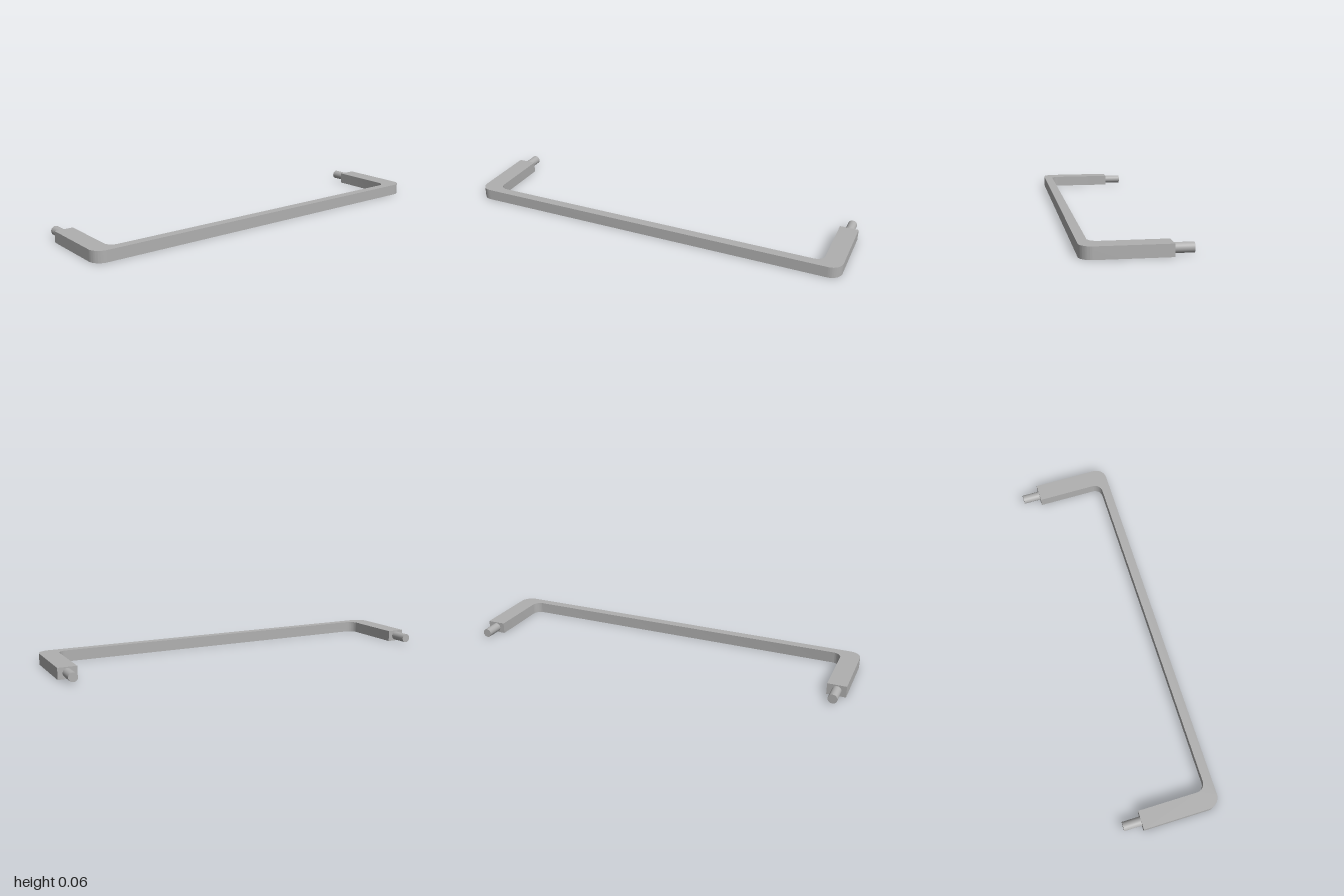
import * as THREE from 'three';
import { toCreasedNormals } from 'three/addons/utils/BufferGeometryUtils.js';

const HEIGHT = 0.057;
const FRONT = 0.244, BAR_BACK = 0.198, ARM_END = -0.152, PIN_END = -0.244;
const OUTER = 1, INNER = 0.906;
const R_OUT = 0.06, R_IN = 0.045;

// U-shaped outline seen from above; shape y is -z
function handleOutline() {
  const s = new THREE.Shape();
  s.moveTo(-OUTER, -ARM_END);
  s.lineTo(-OUTER, -FRONT + R_OUT);
  s.absarc(-OUTER + R_OUT, -FRONT + R_OUT, R_OUT, Math.PI, Math.PI * 1.5, false);
  s.absarc(OUTER - R_OUT, -FRONT + R_OUT, R_OUT, -Math.PI / 2, 0, false);
  s.lineTo(OUTER, -ARM_END);
  s.lineTo(INNER, -ARM_END);
  s.absarc(INNER - R_IN, -BAR_BACK + R_IN, R_IN, 0, -Math.PI / 2, true);
  s.absarc(-INNER + R_IN, -BAR_BACK + R_IN, R_IN, Math.PI * 1.5, Math.PI, true);
  s.lineTo(-INNER, -ARM_END);
  s.closePath();
  return s;
}

export function createModel() {
  const group = new THREE.Group();
  group.name = 'pullHandle';
  const metal = new THREE.MeshStandardMaterial({ color: 0xb0b0b0 });
  metal.name = 'grey metal';

  // Bar and arms in one piece, with rounded corners
  const body = new THREE.ExtrudeGeometry(handleOutline(), {
    depth: HEIGHT, bevelEnabled: false, curveSegments: 16,
  });
  body.rotateX(-Math.PI / 2);
  const handle = new THREE.Mesh(toCreasedNormals(body, 0.5), metal);
  handle.name = 'handleBar';
  group.add(handle);

  // Round mounting pins at the arm ends
  const length = ARM_END - PIN_END;
  const pinGeometry = new THREE.CylinderGeometry(0.023, 0.023, length, 32);
  pinGeometry.rotateX(Math.PI / 2);
  for (const side of [-1, 1]) {
    const pin = new THREE.Mesh(pinGeometry, metal);
    pin.name = side > 0 ? 'leftPin' : 'rightPin';
    pin.position.set(side * (OUTER + INNER) / 2, HEIGHT / 2, (ARM_END + PIN_END) / 2);
    group.add(pin);
  }
  return group;
}
